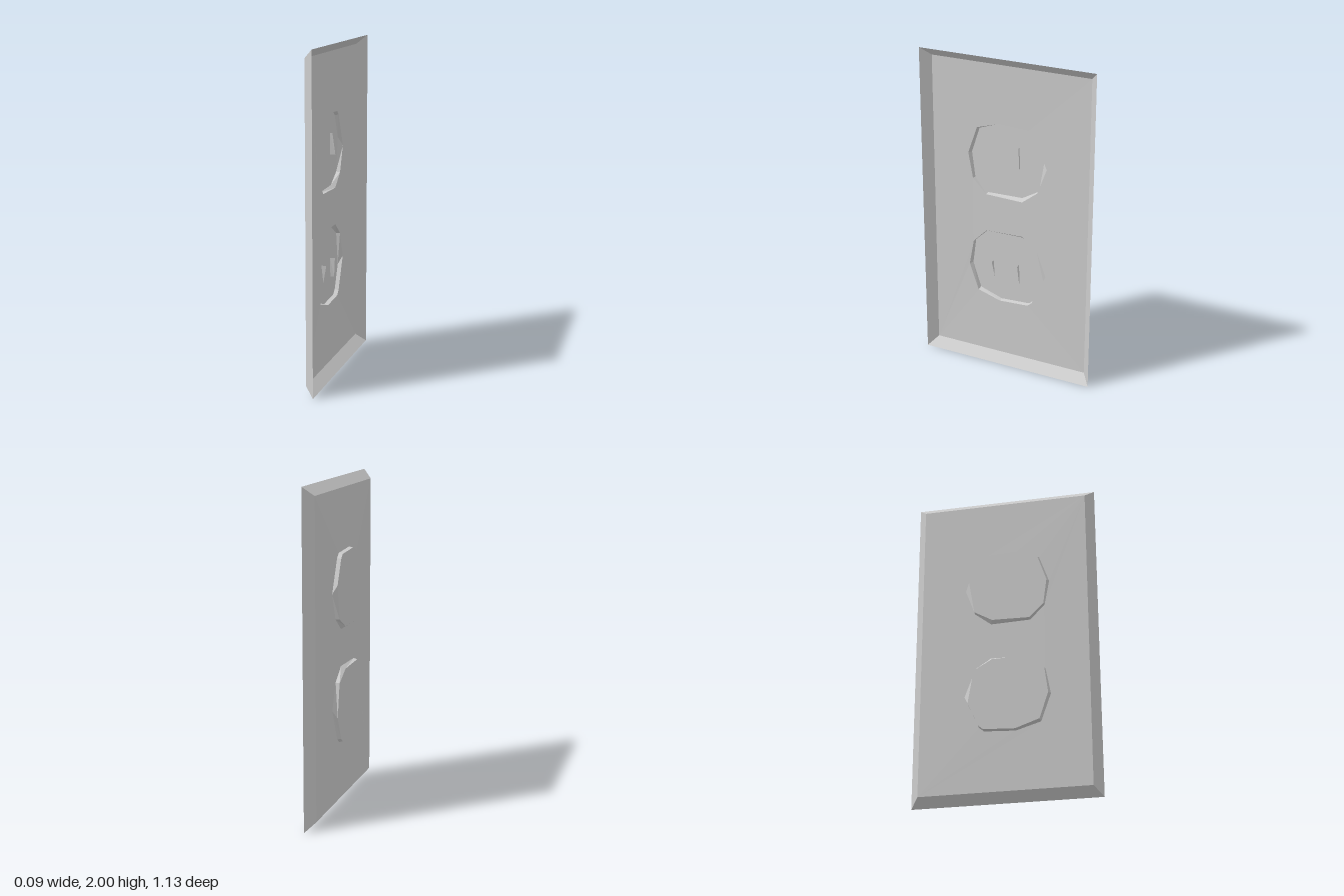
import * as THREE from 'three';

const material = new THREE.MeshStandardMaterial({
  color: 0xcccccc, flatShading: true, side: THREE.DoubleSide,
});

// Depths along x: open back, flat front, socket rim, socket face
const BACK = 0.043, FRONT = -0.015, RIM = -0.02, FACE = -0.045;

// Outlines are [z, y] pairs, counter-clockwise
const rect = (w, y0, y1) => [[-w, y0], [w, y0], [w, y1], [-w, y1]];
const mirrorY = (loop) => loop.map(([z, y]) => [z, 2 - y]).reverse();
const toPoints = (loop) => loop.map(([z, y]) => new THREE.Vector2(z, y));

function addMesh(parent, name, geometry) {
  geometry.computeVertexNormals();
  const mesh = new THREE.Mesh(geometry, material);
  mesh.name = name;
  parent.add(mesh);
}

// Flat sheet facing -x, with depth set by a rule on z
function sheet(loop, holes, depth) {
  const shape = new THREE.Shape(toPoints(loop));
  shape.holes = holes.map((h) => new THREE.Path(toPoints(h)));
  const geometry = new THREE.ShapeGeometry(shape);
  const p = geometry.attributes.position;
  for (let i = 0; i < p.count; i++) {
    const z = p.getX(i);
    p.setXYZ(i, depth(z), p.getY(i), z);
  }
  return geometry;
}

// Band of quads joining two matching outlines
function band(outer, xOuter, inner, xInner) {
  const pos = [];
  const put = ([z, y], x) => pos.push(x, y, z);
  outer.forEach((a, i) => {
    const j = (i + 1) % outer.length;
    put(a, xOuter); put(outer[j], xOuter); put(inner[j], xInner);
    put(a, xOuter); put(inner[j], xInner); put(inner[i], xInner);
  });
  const geometry = new THREE.BufferGeometry();
  geometry.setAttribute('position', new THREE.Float32BufferAttribute(pos, 3));
  return geometry;
}

// Thin slot blade standing on the inside of a socket face
function blade(z, y0, y1, topReach, bottomReach) {
  const foot = FACE + 0.001;
  const corners = [
    [foot, y1, z], [foot, y0, z - 0.005],
    [foot + bottomReach, y0, z - 0.012], [foot + topReach, y1, z - 0.002],
  ];
  const geometry = new THREE.BufferGeometry();
  geometry.setAttribute('position', new THREE.Float32BufferAttribute(
    [0, 1, 2, 0, 2, 3].flatMap((i) => corners[i]), 3));
  return geometry;
}

export function createModel() {
  const group = new THREE.Group();
  group.name = 'outletCover';

  // Upper socket outlines; the lower socket mirrors them about y = 1
  const rim = [
    [0.07, 1.585], [0.22, 1.54], [0.28, 1.37], [0.25, 1.21], [0.16, 1.12],
    [-0.08, 1.113], [-0.18, 1.19], [-0.24, 1.35], [-0.15, 1.55], [-0.12, 1.575],
  ].reverse();
  const face = [
    [0.07, 1.58], [0.215, 1.53], [0.268, 1.37], [0.247, 1.21], [0.16, 1.125],
    [-0.07, 1.13], [-0.18, 1.193], [-0.215, 1.40], [-0.15, 1.545], [-0.12, 1.57],
  ].reverse();
  const sockets = [
    { name: 'upperSocket', rim, face },
    { name: 'lowerSocket', rim: mirrorY(rim), face: mirrorY(face) },
  ];

  // Cover plate: bevelled border and front with two openings
  const back = rect(0.565, 0, 2), front = rect(0.513, 0.055, 1.947);
  addMesh(group, 'plateBevel', band(back, BACK, front, FRONT));
  addMesh(group, 'plateFront', sheet(front, sockets.map((s) => s.rim),
    (z) => (Math.abs(z) > 0.4 ? FRONT : RIM)));

  // Raised sockets
  for (const s of sockets) {
    const socket = new THREE.Group();
    socket.name = s.name;
    addMesh(socket, 'socketWall', band(s.rim, RIM, s.face, FACE));
    addMesh(socket, 'socketFace', sheet(s.face, [], () => FACE));
    group.add(socket);
  }

  // Slot blades
  addMesh(group, 'upperSlot', blade(-0.05, 1.32, 1.45, 0.015, 0.03));
  addMesh(group, 'lowerRightSlot', blade(-0.05, 0.56, 0.68, 0.03, 0.022));
  addMesh(group, 'lowerLeftSlot', blade(0.125, 0.565, 0.675, 0.03, 0.008));
  return group;
}
